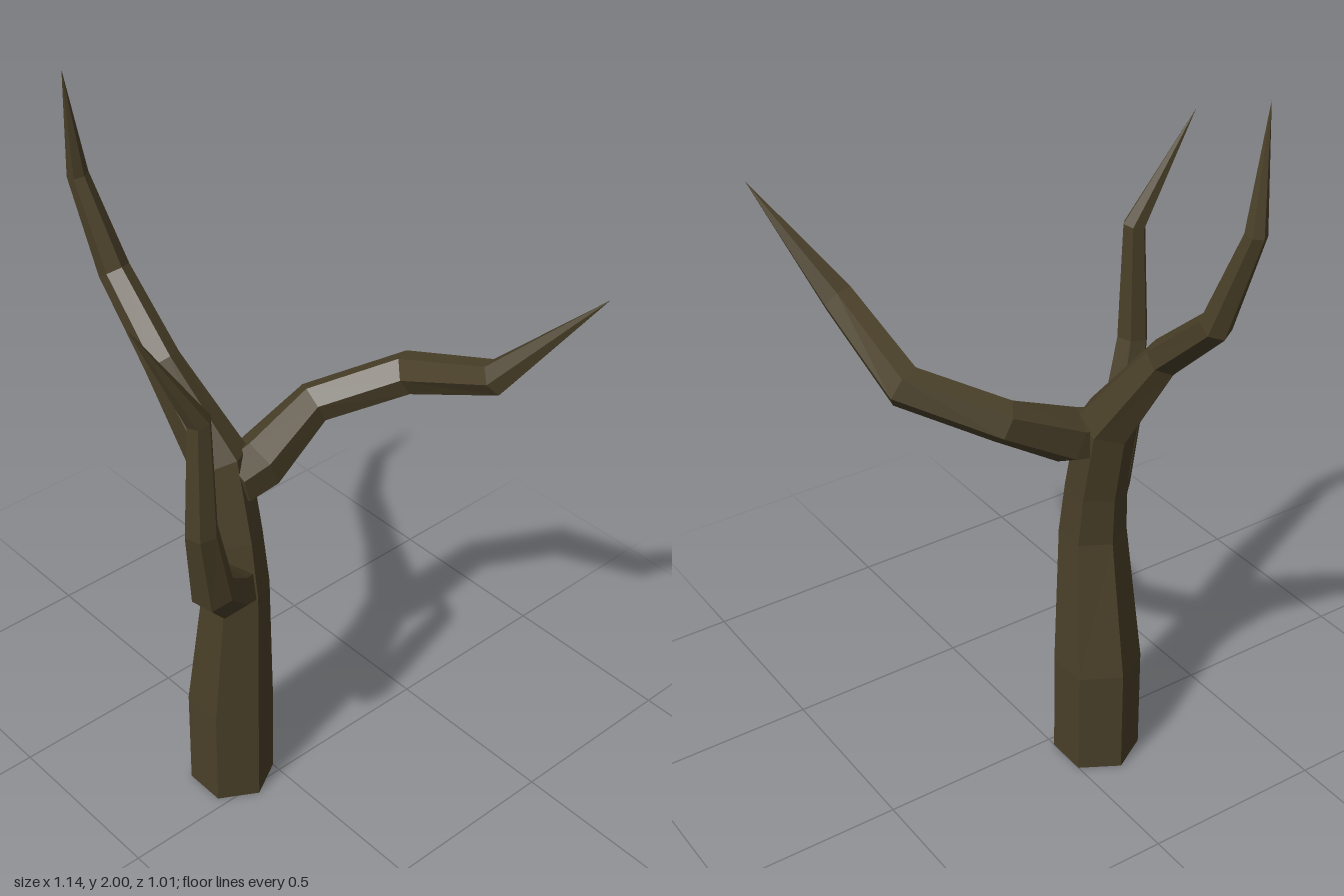
import * as THREE from 'three';

const SIDES = 6;

// Tapered six-sided limb; each point is [x, y, z, radius], a zero radius ends in a spike.
function limb(points, seed) {
  const centres = points.map(([x, y, z]) => new THREE.Vector3(x, y, z));
  const last = centres.length - 1;
  const normal = seed.clone();
  const rings = centres.map((c, i) => {
    const tangent = new THREE.Vector3();
    if (i > 0) tangent.add(c.clone().sub(centres[i - 1]).normalize());
    if (i < last) tangent.add(centres[i + 1].clone().sub(c).normalize());
    tangent.normalize();
    normal.addScaledVector(tangent, -normal.dot(tangent)).normalize();
    const side = tangent.clone().cross(normal);
    return Array.from({ length: SIDES }, (_, j) => {
      const a = (j / SIDES) * Math.PI * 2;
      return c.clone()
        .addScaledVector(normal, Math.cos(a) * points[i][3])
        .addScaledVector(side, Math.sin(a) * points[i][3]);
    });
  });
  const verts = [];
  for (let j = 0; j < SIDES; j++) {
    const k = (j + 1) % SIDES;
    verts.push(centres[0], rings[0][k], rings[0][j]);
    for (let i = 0; i < last; i++) {
      verts.push(rings[i][j], rings[i][k], rings[i + 1][k]);
      if (points[i + 1][3] > 0) verts.push(rings[i][j], rings[i + 1][k], rings[i + 1][j]);
    }
  }
  const geometry = new THREE.BufferGeometry().setFromPoints(verts);
  geometry.computeVertexNormals();
  return geometry;
}

export function createModel() {
  const group = new THREE.Group();
  group.name = 'bareTree';
  const bark = new THREE.MeshStandardMaterial({ color: 0x4a4029, flatShading: true });
  bark.name = 'darkBark';

  const sideways = new THREE.Vector3(1, 0, 0);
  const upward = new THREE.Vector3(0, 1, 0);
  const parts = {
    // Trunk running on into the tallest branch
    trunkAndRightBranch: [sideways, [
      [-0.085, 0, 0.1, 0.116], [-0.085, 0.3, 0.1, 0.116], [-0.055, 0.7, 0.1, 0.088],
      [-0.075, 0.85, 0.095, 0.08], [-0.125, 1.06, 0.09, 0.078], [-0.28, 1.295, 0.138, 0.048],
      [-0.47, 1.465, 0.13, 0.041], [-0.548, 1.71, 0.165, 0.027], [-0.525, 2, 0.205, 0],
    ]],
    // Branch reaching back, then to the model's left
    backBranch: [upward, [
      [-0.085, 1.01, 0.08, 0.07], [-0.08, 1.03, 0, 0.075], [-0.078, 1.13, -0.185, 0.056],
      [0.07, 1.215, -0.368, 0.056], [0.35, 1.335, -0.382, 0.045], [0.565, 1.6, -0.505, 0],
    ]],
    // Branch reaching forward and turning up
    frontBranch: [sideways, [
      [-0.045, 0.71, 0.11, 0.07], [0.025, 0.785, 0.205, 0.068], [0.098, 0.89, 0.3, 0.057],
      [0.122, 1.11, 0.348, 0.043], [0.125, 1.425, 0.348, 0.031], [0.09, 1.715, 0.505, 0],
    ]],
  };
  for (const [name, [seed, points]] of Object.entries(parts)) {
    const mesh = new THREE.Mesh(limb(points, seed), bark);
    mesh.name = name;
    group.add(mesh);
  }
  return group;
}
